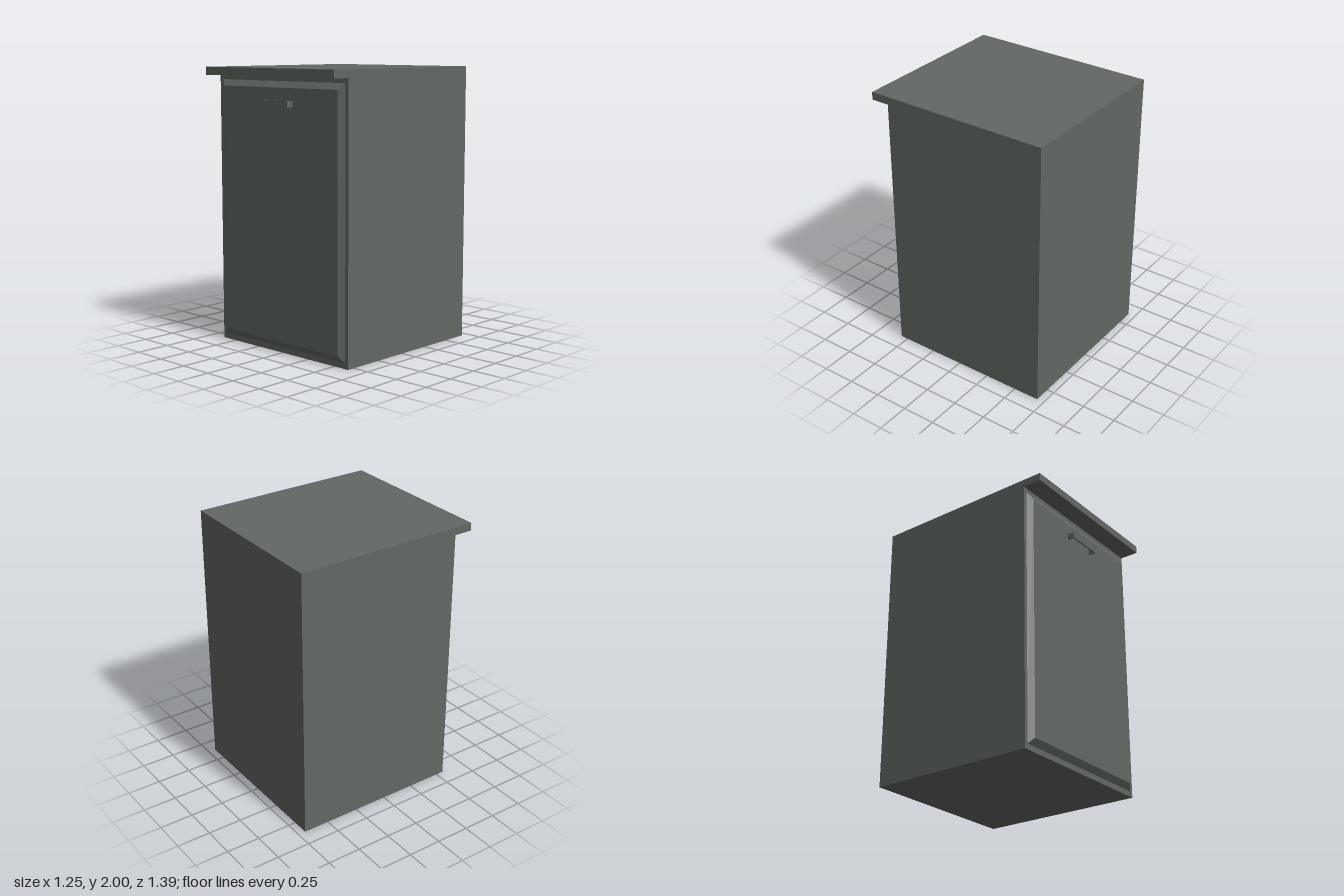
import * as THREE from 'three';

export function createModel() {
  const group = new THREE.Group();
  const grey = new THREE.MeshStandardMaterial({ color: 0x626864 });
  grey.name = 'slate grey';

  // Box given by its minimum and maximum corners
  function box(name, min, max, parent = group) {
    const size = max.map((v, i) => v - min[i]);
    const mesh = new THREE.Mesh(new THREE.BoxGeometry(...size), grey);
    mesh.position.set(...max.map((v, i) => (v + min[i]) / 2));
    mesh.name = name;
    parent.add(mesh);
    return mesh;
  }

  // Cabinet body and overhanging worktop
  box('cabinetBody', [-0.627, 0, -0.695], [0.627, 1.943, 0.558]);
  box('worktop', [-0.627, 1.943, -0.695], [0.627, 2, 0.695]);

  // Door panel: the front face is drawn in to make sloping edges
  const door = box('doorPanel', [-0.6, 0.04, 0.558], [0.6, 1.91, 0.587]);
  const p = door.geometry.attributes.position;
  for (let i = 0; i < p.count; i++) {
    if (p.getZ(i) > 0) {
      p.setX(i, p.getX(i) - Math.sign(p.getX(i)) * 0.042);
      p.setY(i, p.getY(i) - Math.sign(p.getY(i)) * 0.044);
    }
  }
  door.geometry = door.geometry.toNonIndexed();
  door.geometry.computeVertexNormals();

  // Handle: flat bar on two thin posts
  const handle = new THREE.Group();
  handle.name = 'handle';
  group.add(handle);
  box('handleBar', [-0.142, 1.737, 0.626], [0.138, 1.779, 0.636], handle);
  box('handlePostRight', [-0.142, 1.737, 0.587], [-0.132, 1.779, 0.626], handle);
  box('handlePostLeft', [0.128, 1.737, 0.587], [0.138, 1.779, 0.626], handle);

  return group;
}
